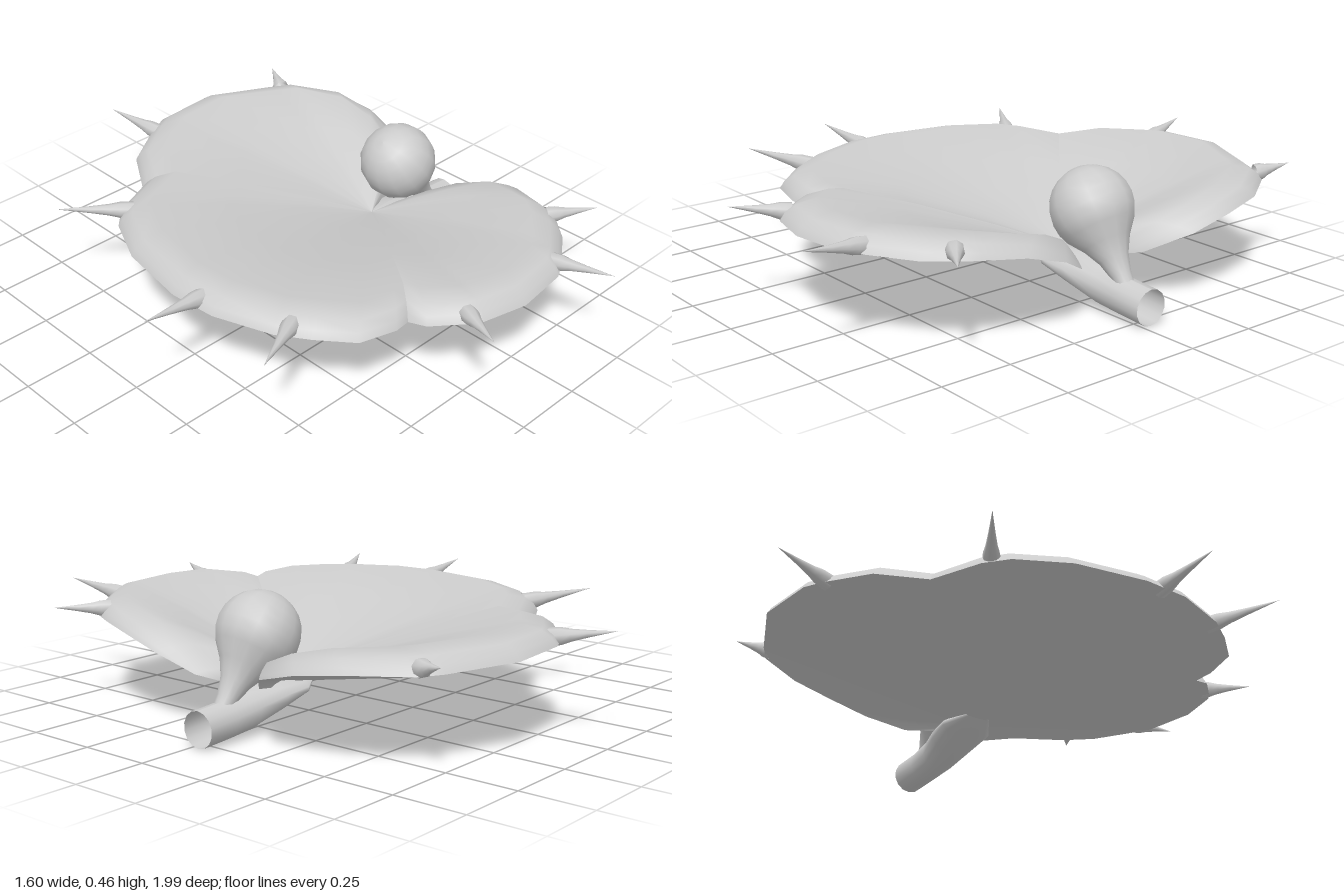
import * as THREE from 'three';

const skin = new THREE.MeshStandardMaterial({ color: 0xcccccc, side: THREE.DoubleSide });
skin.name = 'pale grey';

const HUB = { x: 0.38, z: -0.02, top: 0.165, under: 0.135 };

// Rim of each lobe as [x, z, y], counter-clockwise seen from above
const LOBES = {
  backLobe: [
    [0.5, -0.07, 0.145], [0.64, -0.14, 0.18], [0.755, -0.25, 0.25], [0.767, -0.4, 0.29], [0.735, -0.56, 0.31],
    [0.62, -0.73, 0.31], [0.54, -0.775, 0.31], [0.305, -0.873, 0.318], [0.07, -0.853, 0.318],
    [0, -0.82, 0.315], [-0.15, -0.72, 0.31], [-0.245, -0.565, 0.295]],
  middleLobe: [
    [-0.245, -0.565, 0.295], [-0.41, -0.48, 0.305], [-0.475, -0.41, 0.312], [-0.56, -0.23, 0.315],
    [-0.6, 0.03, 0.315], [-0.585, 0.2, 0.315], [-0.51, 0.4, 0.312], [-0.44, 0.5, 0.31],
    [-0.345, 0.605, 0.305], [-0.21, 0.637, 0.298], [-0.145, 0.625, 0.29]],
  frontLobe: [
    [-0.145, 0.625, 0.29], [-0.13, 0.69, 0.3], [-0.03, 0.79, 0.312], [0, 0.81, 0.315],
    [0.16, 0.847, 0.315], [0.36, 0.823, 0.315], [0.42, 0.79, 0.315], [0.56, 0.69, 0.31],
    [0.63, 0.61, 0.31], [0.66, 0.54, 0.305], [0.708, 0.4, 0.295], [0.708, 0.25, 0.25],
    [0.65, 0.13, 0.185], [0.59, 0.08, 0.16], [0.48, 0.03, 0.14]],
};

// Spikes as base [x, z] and tip [x, z, y]
const SPIKES = [
  [[0.6, -0.74], [0.647, -0.835, 0.36]], [[0.01, -0.82], [-0.037, -1, 0.368]],
  [[-0.42, -0.45], [-0.61, -0.572, 0.365]], [[-0.58, 0.12], [-0.8, 0.135, 0.37]],
  [[-0.475, 0.43], [-0.677, 0.537, 0.365]], [[-0.03, 0.78], [-0.105, 0.933, 0.36]],
  [[0.4, 0.79], [0.427, 0.99, 0.367]], [[0.62, 0.6], [0.755, 0.693, 0.345]],
];

// Stalk sections as [x, bottom, top, half width]
const STALK = [
  [0.31, 0.14, 0.15, 0.05], [0.39, 0.095, 0.16, 0.1], [0.48, 0.058, 0.165, 0.09],
  [0.58, 0.02, 0.15, 0.068], [0.68, 0.01, 0.132, 0.061], [0.795, 0.003, 0.124, 0.061],
];

function add(group, name, geometry) {
  const mesh = new THREE.Mesh(geometry, skin);
  mesh.name = name;
  group.add(mesh);
  return mesh;
}

// Surface from equal-length rings of points; flip turns it to the other side
function skinRings(rings, flip) {
  const n = rings[0].length, index = [];
  for (let r = 0; r < rings.length - 1; r++) {
    for (let i = 0; i < n - 1; i++) {
      const a = r * n + i, b = a + n, c = b + 1, d = a + 1;
      if (flip) index.push(a, c, b, a, d, c);
      else index.push(a, b, c, a, c, d);
    }
  }
  const g = new THREE.BufferGeometry();
  g.setAttribute('position', new THREE.Float32BufferAttribute(rings.flat(2), 3));
  g.setIndex(index);
  g.computeVertexNormals();
  return g;
}

// Point at fraction t of the way from the hub to a rim point
const along = ([x, z], t, y) => [HUB.x + (x - HUB.x) * t, y, HUB.z + (z - HUB.z) * t];
const reach = ([x, z]) => Math.hypot(x - HUB.x, z - HUB.z);
// Thickness of the rim, thinning towards the stalk
const fullness = (p) => Math.min(1, (reach(p) / 0.72) ** 2);

function topRings(rim) {
  // blade rising from the hub to a crest just inside the rim
  const rings = [0, 0.3, 0.65, 1].map((s) => rim.map((p) => {
    const crest = p[2] + 0.066 * fullness(p);
    const y = HUB.top + (crest - HUB.top) * s + 0.012 * Math.sin(Math.PI * s);
    return along(p, s * (1 - Math.min(0.3, 0.12 / reach(p))), y);
  }));
  // rounded lip falling to the rim, as [inset, rise]
  for (const [inset, rise] of [[0.05, 0.048], [0.016, 0.025], [0, 0]]) {
    rings.push(rim.map((p) =>
      along(p, 1 - Math.min(2.5 * inset, inset / reach(p)), p[2] + rise * fullness(p))));
  }
  return rings;
}

const underRings = (rim) => [0, 0.5, 1].map((t) =>
  rim.map((p) => along(p, t, HUB.under + (p[2] - HUB.under) * t)));

// Closed loop of a stalk section
const stalkRing = ([x, bottom, top, half]) => Array.from({ length: 15 }, (_, i) => {
  const a = (i / 14) * Math.PI * 2;
  return [x, (top + bottom) / 2 + Math.cos(a) * (top - bottom) / 2, -0.028 + Math.sin(a) * half];
});

// Lathe profile [radius, fraction of length] laid between two points
function spindle(group, name, profile, from, to, sides) {
  const dir = to.clone().sub(from), length = dir.length();
  const pts = profile.map(([r, t]) => new THREE.Vector2(r, t * length));
  const mesh = add(group, name, new THREE.LatheGeometry(pts, sides));
  mesh.position.copy(from);
  mesh.quaternion.setFromUnitVectors(new THREE.Vector3(0, 1, 0), dir.normalize());
}

export function createModel() {
  const model = new THREE.Group();
  model.name = 'lobedLeaf';

  // Cupped leaf blade in three lobes
  for (const [name, rim] of Object.entries(LOBES)) {
    const lobe = new THREE.Group();
    lobe.name = name;
    add(lobe, name + 'Top', skinRings(topRings(rim), false));
    add(lobe, name + 'Underside', skinRings(underRings(rim), true));
    model.add(lobe);
  }

  // Thorns round the rim, flared at the base
  const spikes = new THREE.Group();
  spikes.name = 'rimSpikes';
  for (const [[bx, bz], [tx, tz, ty]] of SPIKES) {
    spindle(spikes, 'spike', [[0.03, -0.15], [0.028, 0.05], [0.02, 0.22], [0.012, 0.5], [0, 1]],
      new THREE.Vector3(bx, 0.335, bz), new THREE.Vector3(tx, ty, tz), 8);
  }
  model.add(spikes);

  // Open stalk widening into the underside of the leaf
  add(model, 'stalk', skinRings(STALK.map(stalkRing), true));

  // Round bulb on a tapering neck rising from the stalk
  const tip = new THREE.Vector3(0.69, 0.1, -0.025), heart = new THREE.Vector3(0.52, 0.322, -0.028);
  const len = tip.distanceTo(heart), profile = [[0.03, 0], [0.034, 0.15], [0.05, 0.36], [0.08, 0.56]];
  for (let i = 0; i <= 8; i++) {
    const a = -0.55 + (i / 8) * (Math.PI / 2 + 0.55);
    profile.push([Math.max(0, 0.139 * Math.cos(a)), 1 + 0.139 * Math.sin(a) / len]);
  }
  spindle(model, 'bulb', profile, tip, heart, 14);

  return model;
}
